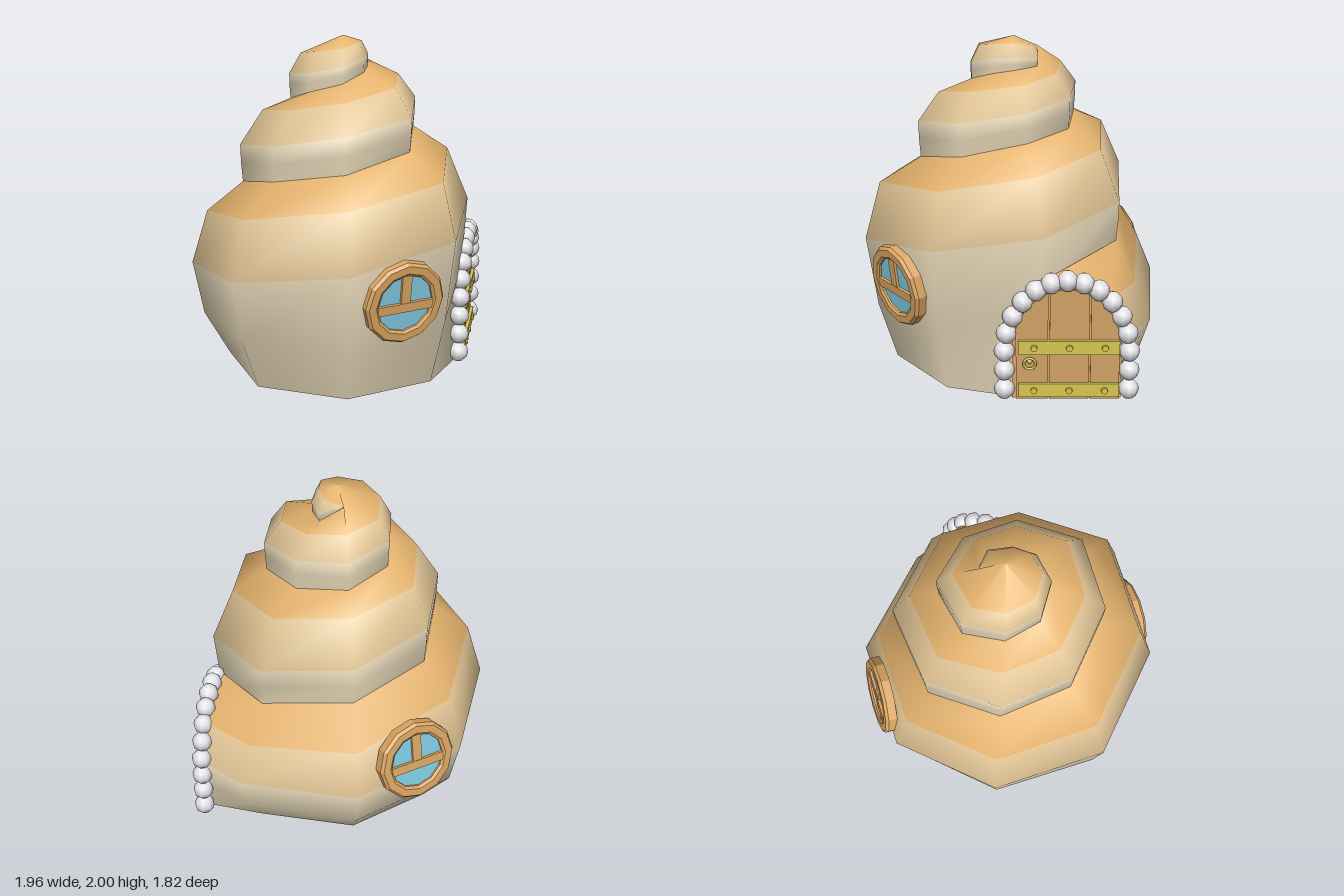
import * as THREE from 'three';

const mat = (name, color, extra = {}) => {
  const m = new THREE.MeshStandardMaterial({ color, ...extra });
  m.name = name;
  return m;
};

// Flat facets for low-poly parts
function facet(geometry) {
  const g = geometry.index ? geometry.toNonIndexed() : geometry;
  g.computeVertexNormals();
  return g;
}

function add(parent, name, geometry, material, x = 0, y = 0, z = 0) {
  const m = new THREE.Mesh(geometry, material);
  m.name = name;
  m.position.set(x, y, z);
  parent.add(m);
  return m;
}

// Spiral sections, eight per turn, from the mouth up to the tip
const RADIUS = [0, .975, .95, .93, .91, .915, .895, .88, .79, .755, .71, .65, .60, .575, .555, .55,
  .455, .42, .42, .36, .30, .27, .23, .19, .17, .20];
const WIDEST = [0, .38, .42, .52, .61, .70, .80, .91, .99, 1.08, 1.17, 1.26, 1.35, 1.43, 1.51, 1.58,
  1.63, 1.67, 1.70, 1.74, 1.78, 1.81, 1.85, 1.89, 1.89, 1.88];
const UPPER = [0, .60, .67, .83, .94, 1.05, 1.15, 1.24, 1.31, 1.38, 1.44, 1.50, 1.56, 1.62, 1.68, 1.74,
  1.77, 1.80, 1.83, 1.85, 1.90, 1.93, 1.95, 1.97, 1.97, 1.95];
const SEAM = [.73, .84, .93, 1.02, 1.12, 1.22, 1.29, 1.38, 1.45, 1.48, 1.52, 1.57, 1.63, 1.70, 1.75,
  1.80, 1.82, 1.83];
const FLOOR = [0, .80, .76, .73, .76, .80, .81, .82];
const APEX = [-.03, 2, .02];
const TIP_END = [.06, 1.93, -.10];

function polar(i, r, y) {
  const a = (i - 7) * Math.PI / 4;
  return [-.065 + r * Math.sin(a), y, .025 + r * Math.cos(a)];
}

const foot = i => (i < 8 ? polar(i, RADIUS[i] * FLOOR[i], 0) : polar(i, RADIUS[i] * .98, SEAM[i - 8]));

function crown(i) {
  if (i + 8 <= 25) return foot(i + 8);
  return i === 18 ? TIP_END : APEX;
}

function shoulder(i) {
  const narrowing = i < 8 ? .89 : i < 12 ? .83 : .77;
  return polar(i, RADIUS[i] * narrowing, UPPER[i]);
}

function section(i) {
  // mouth section lies in the plane of the door
  if (i === 0) {
    return [[.86, 0], [.88, .2], [.90, .38], [.82, .62], [.48, .73]].map(([x, y]) => [x, y, .85 - .583 * x]);
  }
  // everything closes up at the tip
  if (i === 26) return Array(5).fill(TIP_END);
  const R = RADIUS[i];
  const low = i < 8
    ? polar(i, R * .93, WIDEST[i] * .45)
    : polar(i, R * .995, (SEAM[i - 8] + WIDEST[i]) / 2);
  const rows = [foot(i), low, polar(i, R, WIDEST[i]), shoulder(i), crown(i)];
  // the wall beside the door reaches the ground
  if (i === 8) {
    rows[0] = [.33, 0, .65];
    rows[1] = [.43, .58, .60];
  }
  return rows;
}

function shellGeometry() {
  const positions = [], index = [], count = 27;
  for (let i = 0; i < count; i++) positions.push(...section(i).flat());
  const g = new THREE.BufferGeometry();
  // one colour group per band: cream walls, tan shoulder, orange top
  [[0, 1], [2], [3]].forEach((bands, m) => {
    const start = index.length;
    for (const j of bands) {
      for (let i = 0; i < count - 1; i++) {
        const a = i * 5 + j, b = a + 5;
        index.push(a, b, b + 1, a, b + 1, a + 1);
      }
    }
    g.addGroup(start, index.length - start, m);
  });
  g.setAttribute('position', new THREE.Float32BufferAttribute(positions, 3));
  g.setIndex(index);
  g.computeVertexNormals();
  return g;
}

function makeWindow(name, wood, glass) {
  const w = new THREE.Group();
  w.name = name;
  const profile = [[.25, -.03], [.25, .025], [.235, .043], [.19, .043], [.174, .032], [.174, -.02]]
    .map(([x, y]) => new THREE.Vector2(x, y));
  add(w, 'windowFrame', facet(new THREE.LatheGeometry(profile, 12).rotateX(Math.PI / 2)), wood);
  add(w, 'windowGlass', new THREE.CircleGeometry(.18, 24), glass, 0, 0, .02);
  add(w, 'horizontalBar', new THREE.BoxGeometry(.35, .055, .02), wood, 0, -.025, .028);
  add(w, 'verticalBar', new THREE.BoxGeometry(.06, .17, .016), wood, 0, .088, .028);
  return w;
}

// Vertical slice of an arched door between two x positions
function plankGeometry(x0, x1, halfWidth, spring, rise, depth) {
  const s = new THREE.Shape();
  s.moveTo(x0, 0);
  s.lineTo(x1, 0);
  for (let k = 0; k <= 8; k++) {
    const x = x1 + (x0 - x1) * k / 8;
    s.lineTo(x, spring + rise * Math.sqrt(Math.max(0, 1 - (x / halfWidth) ** 2)));
  }
  return new THREE.ExtrudeGeometry(s, { depth, bevelEnabled: false });
}

export function createModel() {
  const group = new THREE.Group();
  group.name = 'shellHouse';
  const both = { side: THREE.DoubleSide };
  const cream = mat('creamShell', 0xe2d4b5, both);
  const tan = mat('tanShell', 0xe2c596, both);
  const orange = mat('orangeShell', 0xe5b36e, both);
  const wood = mat('frameWood', 0xdba562);
  const plankWood = mat('doorWood', 0xd0a064);
  const glass = mat('blueGlass', 0x80cbe2, both);
  const brass = mat('brass', 0xd6c650);
  const stone = mat('greyStone', 0xe6e6ea);

  add(group, 'spiralShell', shellGeometry(), [cream, tan, orange]);

  // Round windows, front and back
  const front = makeWindow('frontWindow', wood, glass);
  front.position.set(-.374, .605, .77);
  front.rotation.set(.12, -Math.PI / 8, 0, 'YXZ');
  const back = makeWindow('backWindow', wood, glass);
  back.position.set(.238, .56, -.782);
  back.rotation.set(-.17, Math.PI * 7 / 8, 0, 'YXZ');
  group.add(front, back);

  // Door in the mouth of the shell
  const door = new THREE.Group();
  door.name = 'door';
  door.position.set(.6075, 0, .505);
  door.rotation.y = .528;
  group.add(door);
  add(door, 'doorBacking', plankGeometry(-.318, .318, .319, .32, .37, .02), wood, 0, 0, -.02);
  [[-.295, -.109], [-.1, .128], [.137, .305]].forEach(([a, b]) =>
    add(door, 'doorPlank', plankGeometry(a, b, .315, .32, .365, .016), plankWood, 0, 0, -.002));

  // Metal straps with bolts
  for (const y of [.062, .332]) {
    add(door, 'doorStrap', new THREE.BoxGeometry(.585, .085, .028), brass, .012, y, .02);
    for (const x of [-.19, .014, .22]) {
      add(door, 'strapBolt', facet(new THREE.CylinderGeometry(.019, .022, .014, 8).rotateX(Math.PI / 2)),
        brass, x, y, .038);
    }
  }
  add(door, 'handleRing', new THREE.TorusGeometry(.034, .008, 6, 14), brass, -.215, .23, .026);
  add(door, 'handleKnob', new THREE.SphereGeometry(.017, 8, 6), brass, -.215, .245, .02);

  // Stone arch: three stones up each side, then an elliptical curve
  const stoneGeometry = new THREE.SphereGeometry(.062, 8, 6);
  const arch = new THREE.Group();
  arch.name = 'stoneArch';
  door.add(arch);
  for (const side of [-1, 1]) {
    for (const y of [.06, .18, .30]) add(arch, 'archStone', stoneGeometry, stone, side * .362, y, 0);
  }
  for (let k = 1; k < 12; k++) {
    const t = k * Math.PI / 12;
    add(arch, 'archStone', stoneGeometry, stone, .362 * Math.cos(t), .30 + .435 * Math.sin(t), 0);
  }
  return group;
}
